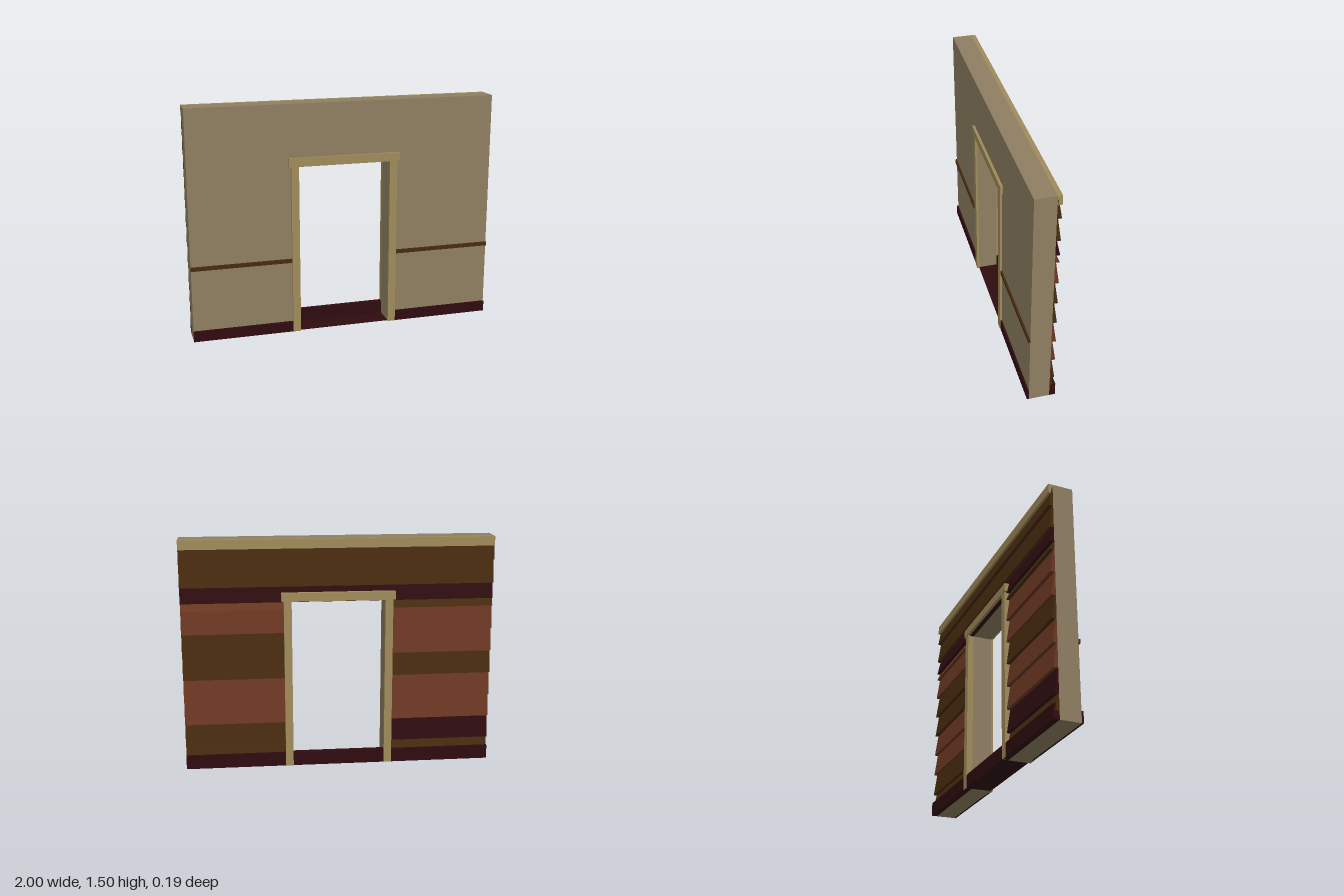
import * as THREE from 'three';

const mat = (name, color) => {
  const m = new THREE.MeshStandardMaterial({ color });
  m.name = name;
  return m;
};

export function createModel() {
  const plaster = mat('plaster', 0x8f7f62);
  const trim = mat('trim', 0xa08b5b);
  const maroon = mat('maroonWood', 0x2f0c10);
  const brown = mat('brownWood', 0x472b0f);
  const red = mat('redWood', 0x6b3822);

  const model = new THREE.Group();
  model.name = 'doorwayWall';

  const add = (name, geometry, material) => {
    const mesh = new THREE.Mesh(geometry, material);
    mesh.name = name;
    model.add(mesh);
  };
  // box given by its limits
  const box = (name, material, x0, x1, y0, y1, z0, z1) => {
    const g = new THREE.BoxGeometry(x1 - x0, y1 - y0, z1 - z0);
    g.translate((x0 + x1) / 2, (y0 + y1) / 2, (z0 + z1) / 2);
    add(name, g, material);
  };

  // wall slab with a doorway notch
  const outline = new THREE.Shape([
    [-1, 0], [-0.3, 0], [-0.3, 1.1], [0.3, 1.1], [0.3, 0], [1, 0], [1, 1.5], [-1, 1.5],
  ].map(([x, y]) => new THREE.Vector2(x, y)));
  const wall = new THREE.ExtrudeGeometry(outline, { depth: 0.13, bevelEnabled: false });
  wall.translate(0, 0, -0.05);
  add('wall', wall, plaster);

  // clapboard: wedge section, thick at the bottom edge, run along x
  const board = (material, x0, x1, y0, y1) => {
    const section = new THREE.Shape([
      new THREE.Vector2(0.05, y0), new THREE.Vector2(0.078, y0),
      new THREE.Vector2(0.056, y1), new THREE.Vector2(0.05, y1),
    ]);
    const g = new THREE.ExtrudeGeometry(section, { depth: x1 - x0, bevelEnabled: false });
    g.rotateY(Math.PI / 2); // section x -> -z, depth -> +x
    g.translate(x0, 0, 0);
    add('clapboard', g, material);
  };

  // full-width boards above the door
  board(brown, -1, 1, 1.35, 1.48);
  board(brown, -1, 1, 1.2, 1.35);
  board(maroon, -1, 1, 1.1, 1.2);

  // boards beside the door, bottom row first
  const leftRows = [brown, brown, red, red, brown, brown, red, red];
  const rightRows = [brown, maroon, red, red, brown, red, red, brown];
  for (let i = 0; i < 8; i++) {
    const y0 = i === 0 ? 0.05 : i * 0.15;
    const y1 = i === 7 ? 1.1 : (i + 1) * 0.15;
    board(leftRows[i], 0.32, 1, y0, y1);
    board(rightRows[i], -1, -0.32, y0, y1);
  }

  // back top trim, back base and threshold
  box('topTrim', trim, -1, 1, 1.44, 1.5, -0.078, -0.05);
  box('backBaseboard', maroon, -1, 1, 0, 0.09, -0.087, -0.05);
  box('threshold', maroon, -0.3, 0.3, 0, 0.006, -0.05, 0.08);

  // mirrored parts on both sides of the door
  for (const s of [-1, 1]) {
    const side = (name, m, a, b, ...rest) => box(name, m, Math.min(s * a, s * b), Math.max(s * a, s * b), ...rest);
    side('baseboard', maroon, 0.35, 1, 0, 0.07, 0.08, 0.092);
    side('chairRail', brown, 0.35, 1, 0.475, 0.5, 0.08, 0.092);
    side('frontCasing', trim, 0.3, 0.35, 0, 1.105, 0.08, 0.095);
    side('backCasing', trim, 0.3, 0.35, 0, 1.105, -0.09, -0.05);
  }

  // door headers
  box('frontHeader', trim, -0.365, 0.365, 1.105, 1.16, 0.08, 0.097);
  box('backHeader', trim, -0.365, 0.365, 1.105, 1.16, -0.095, -0.05);

  return model;
}
